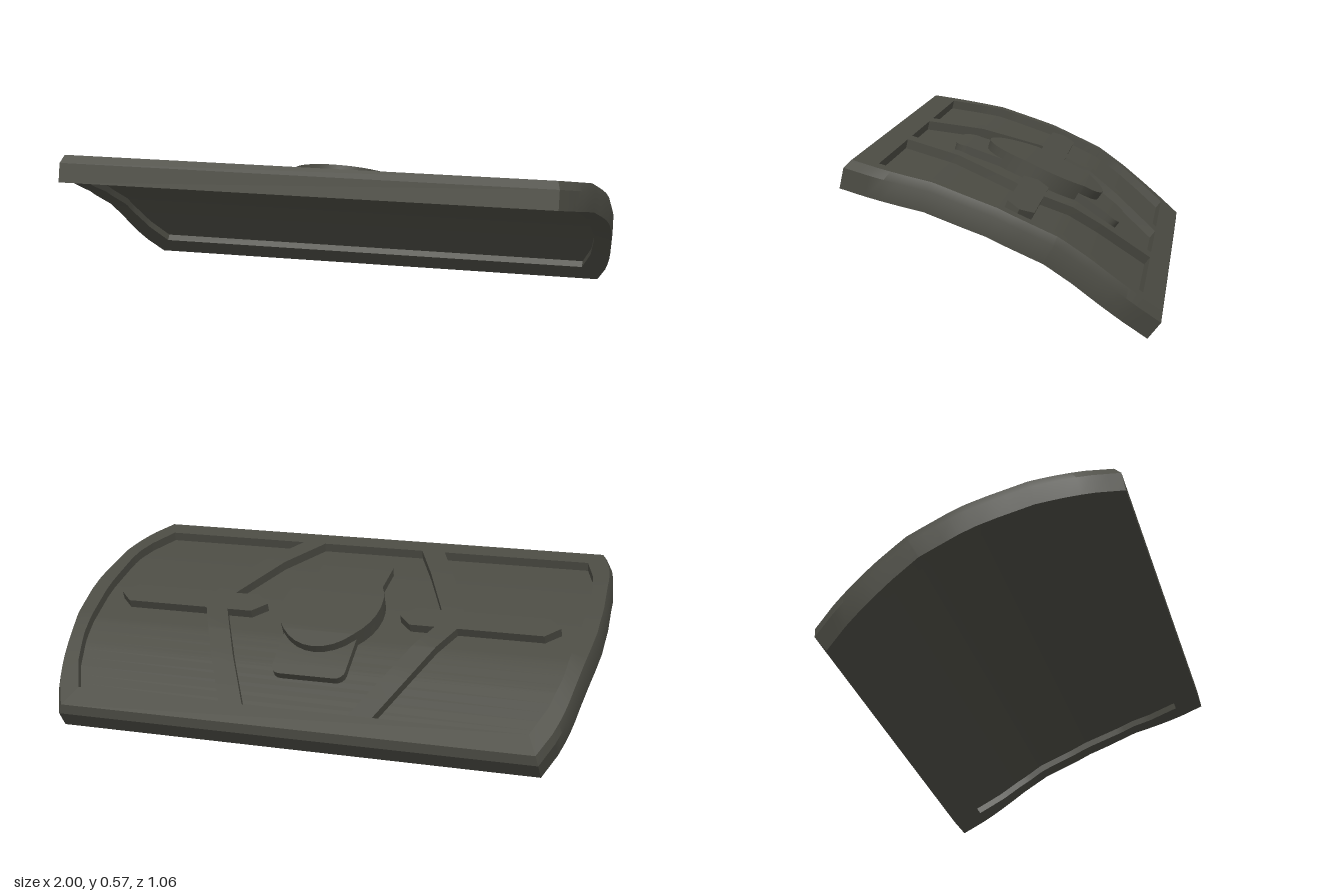
import * as THREE from 'three';
import { toCreasedNormals } from 'three/addons/utils/BufferGeometryUtils.js';

// Underside bend profile [z, y], front to back
const SPINE = [[0.531, 0.479], [0.24, 0.419], [0.04, 0.348], [-0.148, 0.26], [-0.239, 0.195], [-0.48, 0]];
const dirs = SPINE.slice(1).map((p, i) => {
  const dz = p[0] - SPINE[i][0], dy = p[1] - SPINE[i][1], l = Math.hypot(dz, dy);
  return { z: dz / l, y: dy / l, l };
});
const LENGTH = dirs.reduce((a, d) => a + d.l, 0), HALF = LENGTH / 2, PANEL = 0.467;

// Mitred normal and distance from the middle for each bend
let run = -HALF;
const nodes = SPINE.map((p, i) => {
  const a = dirs[Math.max(i - 1, 0)], b = dirs[Math.min(i, dirs.length - 1)];
  const nz = a.y + b.y, ny = -(a.z + b.z), k = 2 / (nz * nz + ny * ny);
  const node = { t: run, z: p[0], y: p[1], nz: nz * k, ny: ny * k };
  if (i < dirs.length) run += dirs[i].l;
  return node;
});

// Bent position: x across, t along the plate to the back, h above the underside
function bend(x, t, h) {
  let i = 0;
  while (i < nodes.length - 2 && t > nodes[i + 1].t) i++;
  const a = nodes[i], b = nodes[i + 1], f = (t - a.t) / (b.t - a.t);
  const mix = (u, v) => u + (v - u) * f;
  return [x, mix(a.y + h * a.ny, b.y + h * b.ny), mix(a.z + h * a.nz, b.z + h * b.nz)];
}

// Linear lookup of half-width by distance from the middle
function lookup(table, t) {
  const u = Math.abs(t);
  let i = 0;
  while (i < table.length - 2 && u > table[i + 1][0]) i++;
  const [a, b] = [table[i], table[i + 1]];
  return a[1] + (b[1] - a[1]) * (u - a[0]) / (b[0] - a[0]);
}
const outerWidth = t => lookup([[0, 1], [0.13, 0.994], [0.36, 0.967], [0.46, 0.945], [HALF, 0.9]], t);
const panelWidth = t => lookup([[0, 0.93], [0.22, 0.92], [0.35, 0.895], [PANEL, 0.85]], t);

// Even stations plus the bends that fall between the ends
function stations(half, n, extra = []) {
  const list = [...extra, ...nodes.map(q => q.t).filter(t => Math.abs(t) < half - 1e-4)];
  for (let i = 0; i <= n; i++) list.push(-half + 2 * half * i / n);
  return list.sort((a, b) => a - b).filter((t, i, s) => i === 0 || t - s[i - 1] > 1e-5);
}

// Join cross-section rings into a solid, closed as a loop or capped
function sweep(rings, loop) {
  const pos = [];
  const tri = (a, b, c) => {
    const [A, B, C] = [a, b, c].map(p => new THREE.Vector3(...p));
    if (B.sub(A).cross(C.sub(A)).length() > 1e-9) pos.push(...a, ...b, ...c);
  };
  const quad = (a, b, c, d) => { tri(a, b, c); tri(a, c, d); };
  const count = loop ? rings.length : rings.length - 1;
  for (let i = 0; i < count; i++) {
    const r = rings[i], s = rings[(i + 1) % rings.length];
    r.forEach((p, j) => {
      const k = (j + 1) % r.length;
      quad(p, s[j], s[k], r[k]);
    });
  }
  if (!loop) {
    const [a, b, c, d] = rings[0], [e, f, g, h] = rings[rings.length - 1];
    quad(a, b, c, d);
    quad(h, g, f, e);
  }
  const geo = new THREE.BufferGeometry();
  geo.setAttribute('position', new THREE.Float32BufferAttribute(pos, 3));
  return toCreasedNormals(geo, 0.42);
}

// Bent slab between two edges given as functions of t
const slab = (ts, x0, x1, h0, h1) => sweep(ts.map(t => [
  bend(x0(t), t, h0), bend(x1(t), t, h0), bend(x1(t), t, h1), bend(x0(t), t, h1),
]), false);

export function createModel() {
  const group = new THREE.Group();
  group.name = 'curvedShieldPlate';
  const metal = new THREE.MeshStandardMaterial({ color: 0x4b4b43 });
  metal.name = 'darkOliveGrey';
  const add = (name, geo) => {
    const mesh = new THREE.Mesh(geo, metal);
    mesh.name = name;
    group.add(mesh);
  };
  const FLOOR = 0.067, TOP = 0.1;

  // Chamfered border swept around the outline
  const side = stations(HALF, 24);
  const outline = [...side.map(t => [1, t]), ...side.slice().reverse().map(t => [-1, t])];
  add('rim', sweep(outline.map(([m, t]) => {
    const xo = m * outerWidth(t), ti = t * PANEL / HALF, xi = m * panelWidth(ti);
    return [bend(xi, ti, 0), bend(xo, t, 0), bend(xo, t, 0.07),
      bend(xo - m * 0.01, t * 0.965, TOP), bend(xi, ti, TOP)];
  }), true));

  // Recessed panel, sunk on both faces
  add('panel', slab(stations(PANEL, 24), t => -panelWidth(t), panelWidth, 0.025, FLOOR));

  // Angled ridges and pointed crossbars on each side
  const slope = t => (PANEL - Math.abs(t)) / 0.422;
  const inner = t => 0.2 + 0.205 * slope(t), outer = t => 0.29 + 0.2 * slope(t);
  const barIn = t => 0.26 + 0.05 * Math.abs(t) / 0.046, barOut = t => 0.86 - 0.05 * Math.abs(t) / 0.046;
  for (const m of [1, -1]) {
    const pair = (a, b) => m > 0 ? [a, b] : [t => -b(t), t => -a(t)];
    const label = m > 0 ? 'left' : 'right';
    add(label + 'Ridge', slab(stations(PANEL, 12), ...pair(inner, outer), 0.06, TOP));
    add(label + 'Crossbar', slab(stations(0.046, 2), ...pair(barIn, barOut), 0.06, TOP));
  }

  // Rounded backing plate under the central disc
  const plateHalf = 0.317, r = 0.035;
  const corner = [0, 0.25, 0.5, 0.75, 1].map(f => plateHalf - r + r * Math.sin(f * Math.PI / 2));
  const plateWidth = t => {
    const d = Math.max(0, Math.abs(t) - (plateHalf - r));
    return 0.14 - r + Math.sqrt(Math.max(0, r * r - d * d));
  };
  add('backingPlate', slab(stations(plateHalf, 1, corner.flatMap(t => [t, -t])),
    t => -plateWidth(t), plateWidth, 0.06, 0.096));

  // Central disc
  const R = 0.213;
  const round = Array.from({ length: 17 }, (_, i) => -R * Math.cos(i / 16 * Math.PI));
  const discWidth = t => 0.19 * Math.sqrt(Math.max(0, 1 - (t / R) ** 2));
  add('centralDisc', slab(stations(R, 1, round), t => -discWidth(t), discWidth, 0.06, 0.128));

  return group;
}
